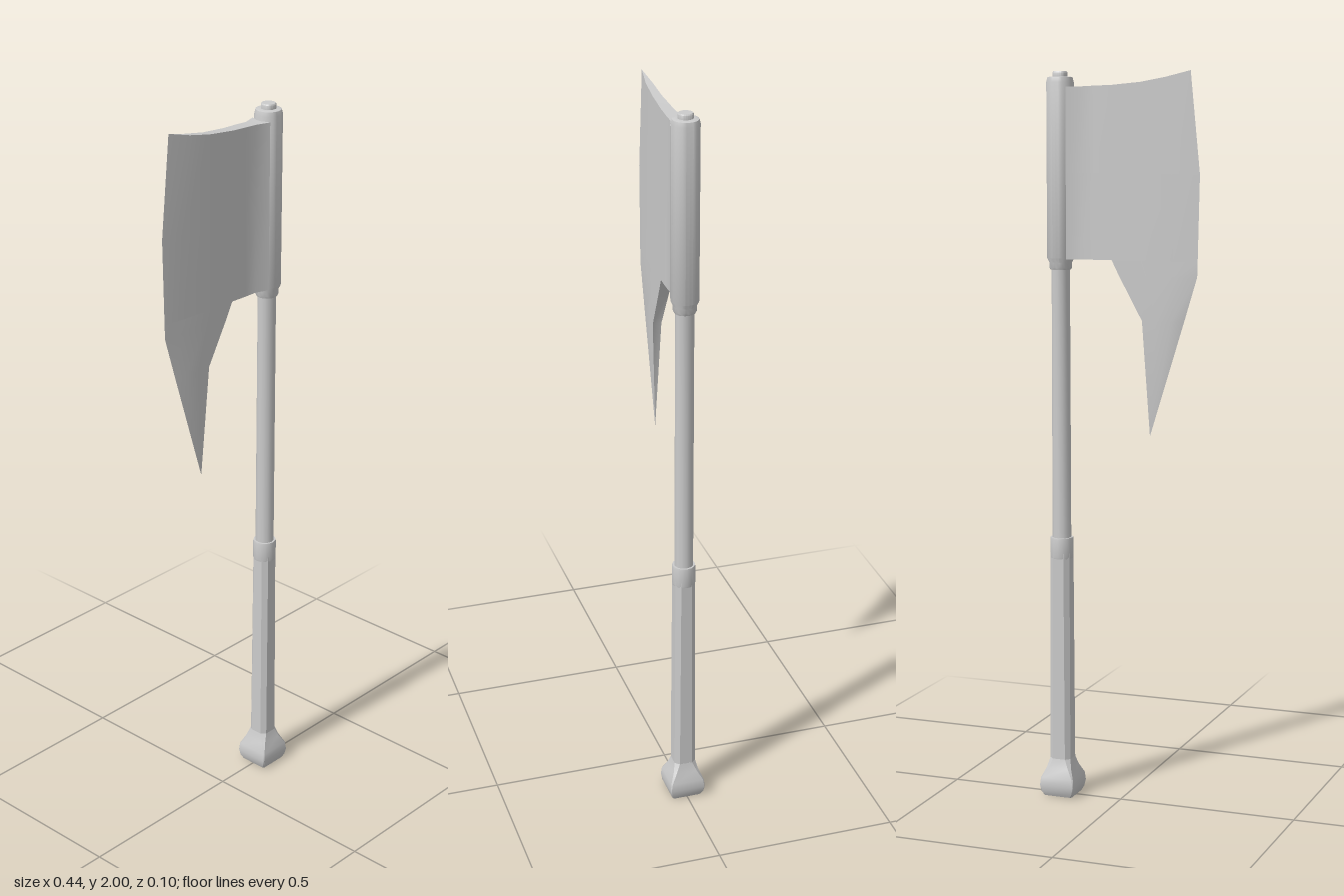
import * as THREE from 'three';
import { toCreasedNormals } from 'three/addons/utils/BufferGeometryUtils.js';

const AXIS = 0.173; // x of the handle's centre line
const material = new THREE.MeshStandardMaterial({ color: 0xcccccc });

// Skin a stack of closed loops (bottom to top, counter-clockwise from above) and cap both ends.
function loft(loops, crease) {
  const n = loops[0].length, top = (loops.length - 1) * n, index = [];
  const quad = (a, b, c, d) => index.push(a, b, c, a, c, d);
  for (let i = 0; i < top; i += n)
    for (let j = 0; j < n; j++) {
      const k = (j + 1) % n;
      quad(i + j, i + k, i + n + k, i + n + j);
    }
  for (let k = 0; k < n / 2 - 1; k++) {
    quad(top + k, top + k + 1, top + n - 2 - k, top + n - 1 - k);
    quad(n - 1 - k, n - 2 - k, k + 1, k);
  }
  const geometry = new THREE.BufferGeometry();
  geometry.setAttribute('position', new THREE.Float32BufferAttribute(loops.flat(2), 3));
  geometry.setIndex(index);
  return toCreasedNormals(geometry, crease);
}

// Square section with cut corners
function chamferedSquare(y, half, cut) {
  const s = half - cut;
  return [[half, -s], [s, -half], [-s, -half], [-half, -s], [-half, s], [-s, half], [s, half], [half, s]]
    .map(([x, z]) => [x, y, z]);
}

// Half thickness of the blade across its width
const PROFILE = [[-0.23, 0.004], [-0.155, 0.008], [0.07, 0.018], [0.107, 0.018], [0.14, 0.031]];
function halfThickness(x) {
  for (let i = 1; i < PROFILE.length; i++) {
    const [x0, z0] = PROFILE[i - 1], [x1, z1] = PROFILE[i];
    if (x <= x1) return THREE.MathUtils.mapLinear(x, x0, x1, z0, z1);
  }
  return 0.031;
}

// Closed section from cutting edge to inner edge, given its [x, y] points
function bladeSection(points) {
  const width = points[points.length - 1][0] - points[0][0];
  const side = points.map(([x, y], i) => [x, y, i ? halfThickness(x) * Math.min(1, width / 0.1) : 0]);
  return [...side, ...side.map(([x, y, z]) => [x, y, -z]).reverse()];
}

export function createModel() {
  const model = new THREE.Group();
  const add = (name, geometry, x = 0) => {
    const mesh = new THREE.Mesh(geometry, material);
    mesh.name = name;
    mesh.position.x = x;
    model.add(mesh);
  };
  const lathe = (points, sides) => toCreasedNormals(
    new THREE.LatheGeometry(points.map(([r, y]) => new THREE.Vector2(r, y)), sides), 0.6);

  // Handle: square flared pommel, eight-sided grip, collar and round shaft
  add('pommel', loft([
    chamferedSquare(0, 0.041, 0.004), chamferedSquare(0.012, 0.047, 0.003),
    chamferedSquare(0.03, 0.05, 0.002), chamferedSquare(0.052, 0.048, 0.003),
    chamferedSquare(0.08, 0.036, 0.007), chamferedSquare(0.105, 0.03, 0.012),
  ], 0.6), AXIS);
  add('grip', loft([chamferedSquare(0.1, 0.03, 0.012), chamferedSquare(0.69, 0.028, 0.013)], 0.6), AXIS);
  add('collar', lathe([[0, 0.675], [0.031, 0.675], [0.032, 0.68], [0.032, 0.728], [0.031, 0.733], [0, 0.733]], 16), AXIS);
  add('shaft', lathe([[0.026, 0.72], [0.025, 1.48]], 12), AXIS);

  // Head socket with stepped ends and a small top stud
  add('socket', lathe([
    [0, 1.47], [0.028, 1.47], [0.031, 1.476], [0.031, 1.49], [0.037, 1.502],
    [0.037, 1.97], [0.034, 1.982], [0.027, 1.984], [0.02, 1.984], [0.02, 1.995], [0.018, 1.998], [0, 1.998],
  ], 24), AXIS);

  // Main plate: edge bows outward, top dips towards the socket
  const topHeights = [2, 1.983, 1.97, 1.962, 1.96, 1.958, 1.958];
  add('blade', loft([[1.5, -0.217], [1.73, -0.222], [null, -0.195]].map(([y, edge]) =>
    bladeSection([edge, edge + 0.066, -0.06, 0.02, 0.07, 0.107, 0.145]
      .map((x, i) => [x, y ?? topHeights[i]]))), 0.5));

  // Pointed beard hanging below the plate: [height, cutting edge, inner edge]
  add('bladeBeard', loft([
    [1.03, -0.085, -0.084], [1.34, -0.18, -0.065], [1.46, -0.216, 0], [1.5, -0.217, 0.02],
  ].map(([y, edge, inner]) =>
    bladeSection([0, 0.28, 0.66, 1].map((t) => [THREE.MathUtils.lerp(edge, inner, t), y]))), 0.5));

  return model;
}
